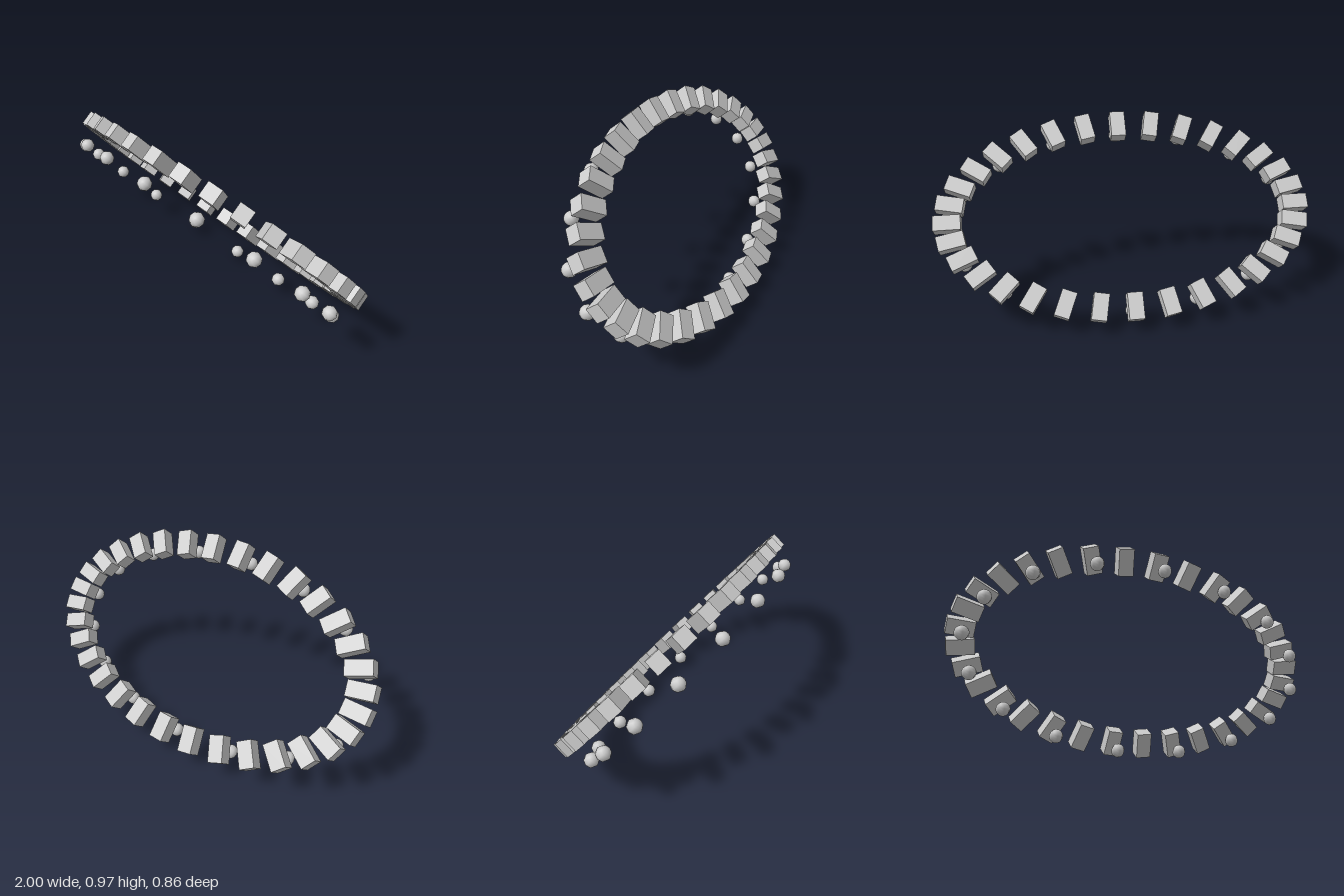
import * as THREE from 'three';

const RX = 0.93, RY = 0.5; // semi-axes of the elliptical ring

export function createModel() {
  const root = new THREE.Group();
  root.name = 'tiltedRing';
  const material = new THREE.MeshStandardMaterial({ color: 0xcccccc });

  // Ring lies in a local XY plane, leaning forward at the top
  const ring = new THREE.Group();
  ring.name = 'ring';
  ring.position.set(0, 0.505, -0.03);
  ring.rotation.x = THREE.MathUtils.degToRad(40);
  root.add(ring);

  // Spread copies of a part round the ellipse, each turned to its angle
  const spread = (name, count, geometry, offset, turn) => {
    const set = new THREE.Group();
    set.name = name + 's';
    for (let i = 0; i < count; i++) {
      const a = (i / count) * Math.PI * 2;
      const part = new THREE.Mesh(geometry, material);
      part.name = name;
      part.position.set(Math.cos(a) * RX, Math.sin(a) * RY, offset);
      if (turn) part.rotation.z = a;
      set.add(part);
    }
    ring.add(set);
  };

  // Blocks: long side points outwards
  spread('block', 32, new THREE.BoxGeometry(0.14, 0.08, 0.082), 0, true);
  // Small beads floating under every second block
  spread('bead', 16, new THREE.SphereGeometry(0.037, 8, 8), 0.13, false);

  return root;
}
